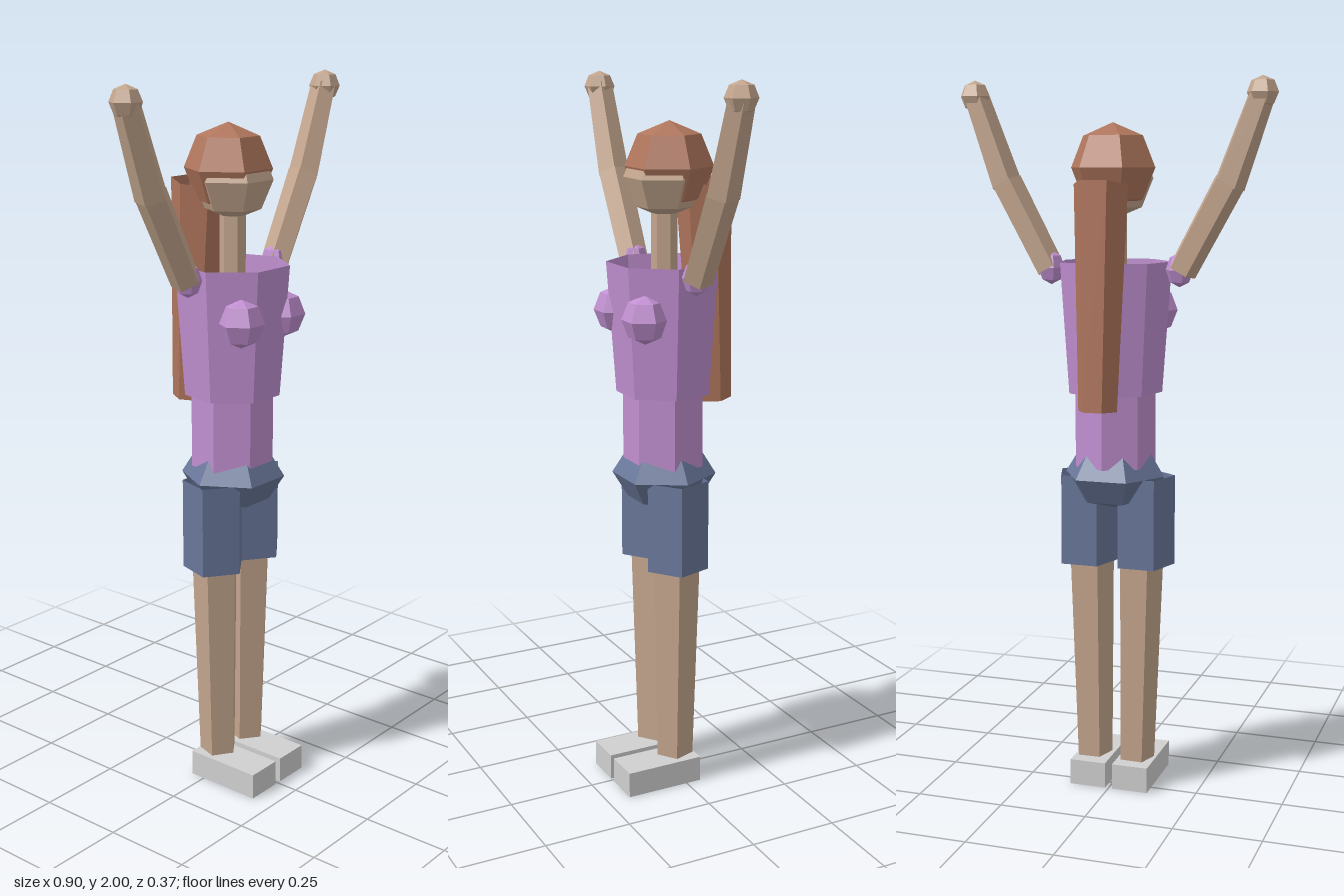
import * as THREE from 'three';

const mat = (name, color) => {
  const m = new THREE.MeshStandardMaterial({ color, flatShading: true, side: THREE.DoubleSide });
  m.name = name;
  return m;
};

export function createModel() {
  const skin = mat('skin', 0xc4a68e);
  const purple = mat('purple top', 0xc08fd0);
  const blue = mat('blue denim', 0x69779a);
  const brown = mat('brown hair', 0xb0765d);
  const grey = mat('pale grey shoe', 0xd0d0d0);
  const group = new THREE.Group();
  const Z = 0.013; // body axis

  const add = (name, geo, material, pos) => {
    const mesh = new THREE.Mesh(geo, material);
    mesh.name = name;
    mesh.position.set(...pos);
    group.add(mesh);
    return mesh;
  };

  // Faceted ball with six sides and corners on the x axis
  const ball = (name, material, pos, r, ry = r) =>
    add(name, new THREE.SphereGeometry(r, 6, 4).scale(1, ry / r, 1), material, pos);

  // Open tapered tube running between two points
  const limb = (name, material, a, b, rA, rB, sides, turn = 0) => {
    const from = new THREE.Vector3(...a), to = new THREE.Vector3(...b);
    const dir = to.clone().sub(from);
    const geo = new THREE.CylinderGeometry(rB, rA, dir.length(), sides, 1, true).rotateY(turn);
    const mesh = add(name, geo, material, from.add(to).multiplyScalar(0.5).toArray());
    mesh.quaternion.setFromUnitVectors(new THREE.Vector3(0, 1, 0), dir.normalize());
    return mesh;
  };

  // Trunk: seven-sided, corner at the back
  limb('chest', purple, [0, 1.15, Z], [0, 1.51, Z], 0.133, 0.158, 7, Math.PI);
  limb('waist', purple, [0, 0.945, Z], [0, 1.15, Z], 0.115, 0.115, 7, Math.PI);
  ball('hips', blue, [0, 0.915, 0.015], 0.145, 0.097);

  // Head, neck and hair
  limb('neck', skin, [0, 1.46, Z], [0, 1.68, Z], 0.036, 0.036, 6, Math.PI / 6);
  ball('head', skin, [0, 1.735, Z], 0.11);
  ball('hairCap', brown, [0, 1.763, -0.002], 0.12);

  // Long hair: two six-sided loops joined by an open wall
  const hair = new THREE.CylinderGeometry(1, 1, 1, 6, 1, true).rotateY(Math.PI / 6);
  const p = hair.attributes.position;
  for (let i = 0; i < p.count; i++) {
    const top = p.getY(i) > 0;
    const r = top ? 0.076 : 0.055;
    const z = p.getZ(i) * r;
    p.setXYZ(i, p.getX(i) * r, top ? 1.72 - z * 0.15 : 1.115 - z * 0.05, z + (top ? -0.105 : -0.135));
  }
  add('longHair', hair, brown, [0, 0, 0]);

  for (const s of [1, -1]) {
    const side = s > 0 ? 'left' : 'right';
    // Chest and shoulders
    ball(side + 'Bust', purple, [s * 0.088, 1.372, 0.115], 0.064, 0.067);
    ball(side + 'Shoulder', purple, [s * 0.185, 1.49, Z], 0.039, 0.047);
    // Raised arm
    limb(side + 'UpperArm', skin, [s * 0.19, 1.485, Z], [s * 0.318, 1.722, Z], 0.042, 0.045, 5);
    limb(side + 'Forearm', skin, [s * 0.318, 1.715, Z], [s * 0.407, 1.96, Z], 0.045, 0.037, 5);
    ball(side + 'Hand', skin, [s * 0.407, 1.957, Z], 0.043);
    // Leg, short and shoe
    limb(side + 'ShortsLeg', blue, [s * 0.083, 0.66, 0.018], [s * 0.083, 0.915, 0.018], 0.089, 0.089, 5);
    limb(side + 'Leg', skin, [s * 0.0635, 0.085, 0.015], [s * 0.077, 0.88, 0.015], 0.054, 0.072, 5);
    add(side + 'Shoe', new THREE.BoxGeometry(0.105, 0.074, 0.228), grey, [s * 0.063, 0.037, 0.07]);
  }
  return group;
}
